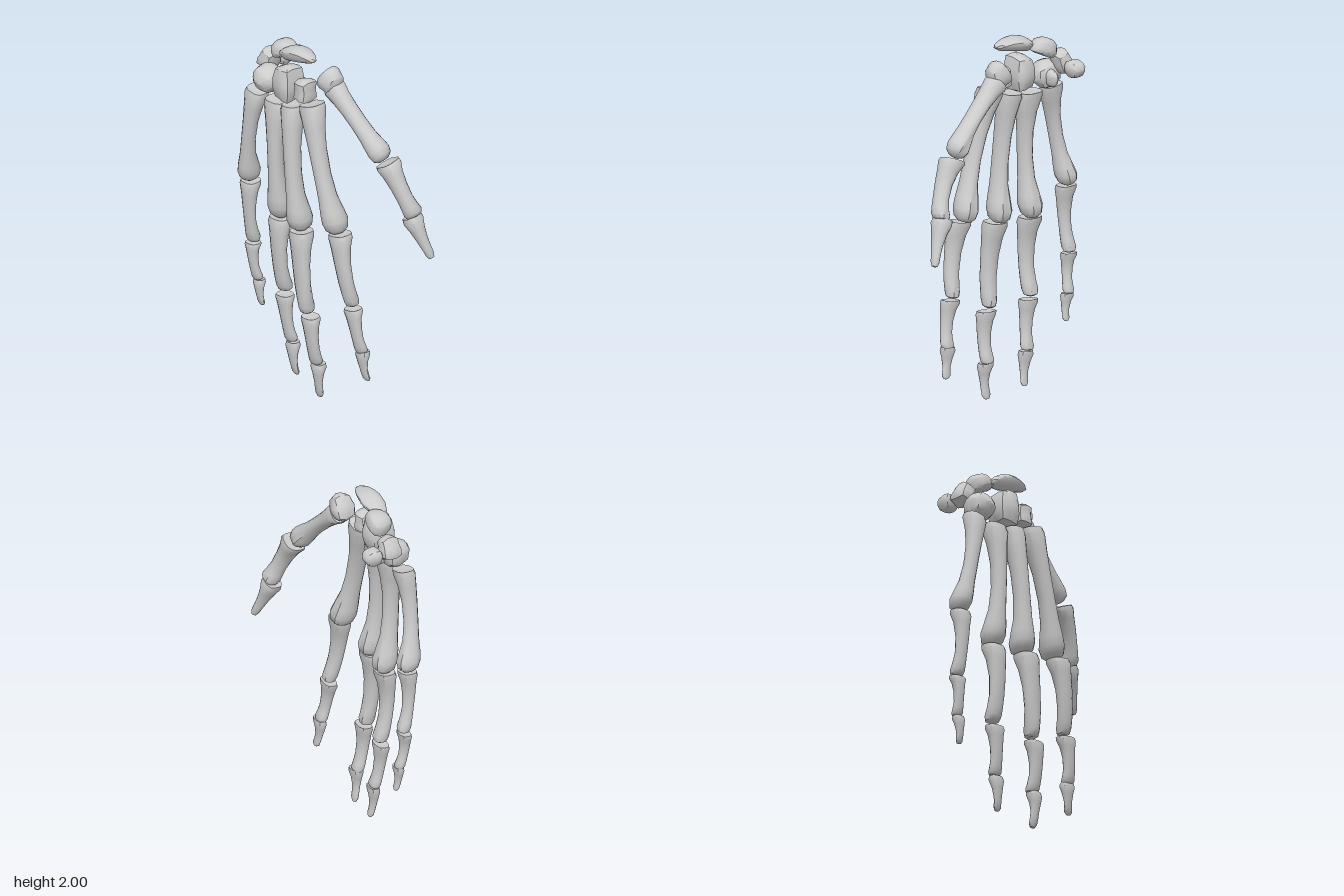
import * as THREE from 'three';
import { toCreasedNormals, mergeVertices } from 'three/addons/utils/BufferGeometryUtils.js';

const material = new THREE.MeshStandardMaterial({ color: 0xcccccc });
const V = (p) => new THREE.Vector3(...p);

// Lengthwise profiles: [t, share of base width, share of head width, inset scale]
const PROFILES = {
  metacarpal: [
    [0, 1, 0, 0.92], [0.05, 0.95, 0, 1], [0.18, 0.5, 0, 1], [0.35, 0.12, 0, 1], [0.55, 0, 0, 1],
    [0.72, 0, 0.2, 1], [0.84, 0, 0.75, 1], [0.91, 0, 1, 1], [0.97, 0, 0.85, 0.9], [1, 0, 0.7, 0.55],
  ],
  phalanx: [
    [0, 1, 0, 0.93], [0.06, 0.95, 0, 1], [0.2, 0.5, 0, 1], [0.42, 0.15, 0, 1], [0.66, 0, 0, 1],
    [0.82, 0, 0.5, 1], [0.92, 0, 1, 1], [0.98, 0, 0.9, 0.85], [1, 0, 0.8, 0.5],
  ],
  tip: [
    [0, 1, 0, 0.9], [0.1, 1, 0, 1], [0.3, 0.45, 0, 1], [0.55, 0, 0, 1],
    [0.75, 0, 0.7, 1], [0.9, 0, 1, 1], [1, 0, 0.6, 0.6],
  ],
};

// Long bone swept along a bowed centre line a-m-b.
// w and d are [base, shaft, head] widths across the hand and palm to back.
function longBone(name, kind, a, m, b, w, d) {
  const A = V(a), M = V(m), B = V(b);
  const control = M.clone().multiplyScalar(2).addScaledVector(A, -0.5).addScaledVector(B, -0.5);
  const path = new THREE.QuadraticBezierCurve3(A, control, B);
  const axis = B.clone().sub(A).normalize();
  const u = new THREE.Vector3(1, 0, 0).addScaledVector(axis, -axis.x).normalize();
  const v = axis.clone().cross(u);
  const profile = PROFILES[kind], N = 14, pos = [], idx = [];
  for (const [t, kb, kh, s] of profile) {
    const size = (r) => (r[1] + (r[0] - r[1]) * kb + (r[2] - r[1]) * kh) * s / 2;
    const c = path.getPoint(t), sw = size(w), sd = size(d);
    for (let j = 0; j < N; j++) {
      const q = j / N * Math.PI * 2, cu = Math.cos(q), sv = Math.sin(q);
      // paired condyles on the palm side, slightly squared base
      const condyle = kind === 'tip' ? 1 : 1 + 0.22 * kh * Math.max(0, cu) * Math.abs(sv) * 2;
      const square = 1 + 0.12 * kb * Math.sin(2 * q) ** 2;
      const p = c.clone().addScaledVector(u, cu * sd * condyle * square)
        .addScaledVector(v, sv * sw * square * (1 - 0.15 * cu * (1 - kb) * (1 - kh)));
      pos.push(p.x, p.y, p.z);
    }
  }
  const last = (profile.length - 1) * N, c0 = pos.length / 3, c1 = c0 + 1;
  const dish = A.clone().addScaledVector(axis, 0.012);
  const notch = B.clone().addScaledVector(axis, kind === 'phalanx' ? -0.004 : 0.004);
  pos.push(...dish.toArray(), ...notch.toArray());
  for (let j = 0; j < N; j++) {
    const k = (j + 1) % N;
    for (let r = 0; r < last; r += N) {
      idx.push(r + j, r + k, r + N + k, r + j, r + N + k, r + N + j);
    }
    idx.push(c0, k, j, c1, last + j, last + k);
  }
  const g = new THREE.BufferGeometry();
  g.setAttribute('position', new THREE.Float32BufferAttribute(pos, 3));
  g.setIndex(idx);
  const mesh = new THREE.Mesh(toCreasedNormals(g, 0.75), material);
  mesh.name = name;
  return mesh;
}

// Wrist bone: irregular faceted pebble; bend arches it along z, tilt turns it about x
function wristBone(name, centre, radii, seed, { tilt = 0, bend = 0, box = 0 } = {}) {
  let g = new THREE.IcosahedronGeometry(1, 2);
  g.deleteAttribute('normal');
  g.deleteAttribute('uv');
  g = mergeVertices(g, 1e-4);
  const p = g.attributes.position, n = new THREE.Vector3();
  for (let i = 0; i < p.count; i++) {
    n.fromBufferAttribute(p, i);
    const lump = 1 + 0.07 * Math.sin(3.1 * n.x + seed) + 0.07 * Math.sin(4.3 * n.y + 2 * seed)
      + 0.06 * Math.sin(3.7 * n.z + 3 * seed);
    const top = Math.max(Math.abs(n.x), Math.abs(n.y), Math.abs(n.z));
    n.multiplyScalar(lump * (1 + box * (1 / top - 1)));
    n.y -= bend * n.z * n.z;
    p.setXYZ(i, n.x * radii[0], n.y * radii[1], n.z * radii[2]);
  }
  g.rotateX(tilt);
  const mesh = new THREE.Mesh(toCreasedNormals(g, 0.6), material);
  mesh.name = name;
  mesh.position.set(...centre);
  return mesh;
}

// Each digit: list of [part, kind, start, middle, end, widths, depths]
const DIGITS = {
  thumb: [
    ['Metacarpal', 'metacarpal', [0, 1.81, 0.02], [0.02, 1.67, 0.18], [0.05, 1.485, 0.36], [0.12, 0.085, 0.12], [0.11, 0.1, 0.12]],
    ['ProximalPhalanx', 'phalanx', [0.065, 1.47, 0.375], [0.085, 1.33, 0.46], [0.13, 1.18, 0.515], [0.13, 0.085, 0.1], [0.13, 0.09, 0.1]],
    ['DistalPhalanx', 'tip', [0.125, 1.18, 0.495], [0.15, 1.06, 0.55], [0.18, 0.95, 0.595], [0.1, 0.06, 0.045], [0.11, 0.065, 0.05]],
  ],
  index: [
    ['Metacarpal', 'metacarpal', [-0.11, 1.73, -0.025], [-0.13, 1.39, 0.07], [-0.1, 1.035, 0.165], [0.14, 0.085, 0.13], [0.13, 0.1, 0.14]],
    ['ProximalPhalanx', 'phalanx', [-0.105, 1.04, 0.19], [-0.115, 0.84, 0.23], [-0.08, 0.63, 0.26], [0.13, 0.09, 0.08], [0.11, 0.075, 0.075]],
    ['MiddlePhalanx', 'phalanx', [-0.085, 0.62, 0.268], [-0.085, 0.49, 0.295], [-0.06, 0.365, 0.31], [0.11, 0.07, 0.08], [0.08, 0.055, 0.055]],
    ['DistalPhalanx', 'tip', [-0.055, 0.375, 0.312], [-0.055, 0.28, 0.318], [-0.042, 0.205, 0.335], [0.085, 0.05, 0.055], [0.06, 0.035, 0.025]],
  ],
  middle: [
    ['Metacarpal', 'metacarpal', [-0.115, 1.68, -0.165], [-0.15, 1.33, -0.13], [-0.125, 0.97, -0.095], [0.12, 0.085, 0.13], [0.13, 0.1, 0.14]],
    ['ProximalPhalanx', 'phalanx', [-0.135, 0.97, -0.08], [-0.155, 0.74, -0.055], [-0.135, 0.5, -0.035], [0.13, 0.1, 0.08], [0.12, 0.075, 0.085]],
    ['MiddlePhalanx', 'phalanx', [-0.13, 0.485, -0.015], [-0.13, 0.34, 0], [-0.1, 0.2, 0], [0.11, 0.075, 0.08], [0.085, 0.06, 0.06]],
    ['DistalPhalanx', 'tip', [-0.1, 0.21, 0.015], [-0.105, 0.11, 0.02], [-0.09, 0.01, 0.015], [0.085, 0.05, 0.055], [0.07, 0.04, 0.03]],
  ],
  ring: [
    ['Metacarpal', 'metacarpal', [-0.11, 1.66, -0.295], [-0.135, 1.33, -0.283], [-0.09, 0.965, -0.29], [0.14, 0.08, 0.13], [0.12, 0.09, 0.13]],
    ['ProximalPhalanx', 'phalanx', [-0.095, 0.965, -0.285], [-0.115, 0.75, -0.275], [-0.075, 0.53, -0.272], [0.13, 0.09, 0.09], [0.11, 0.07, 0.08]],
    ['MiddlePhalanx', 'phalanx', [-0.085, 0.51, -0.265], [-0.085, 0.37, -0.25], [-0.06, 0.235, -0.237], [0.11, 0.07, 0.08], [0.08, 0.055, 0.055]],
    ['DistalPhalanx', 'tip', [-0.06, 0.235, -0.228], [-0.065, 0.13, -0.22], [-0.05, 0.045, -0.21], [0.085, 0.05, 0.05], [0.06, 0.035, 0.025]],
  ],
  little: [
    ['Metacarpal', 'metacarpal', [-0.115, 1.665, -0.445], [-0.135, 1.39, -0.49], [-0.09, 1.095, -0.54], [0.125, 0.075, 0.11], [0.11, 0.08, 0.125]],
    ['ProximalPhalanx', 'phalanx', [-0.09, 1.09, -0.527], [-0.1, 0.91, -0.525], [-0.065, 0.72, -0.53], [0.11, 0.07, 0.08], [0.1, 0.06, 0.07]],
    ['MiddlePhalanx', 'phalanx', [-0.07, 0.715, -0.53], [-0.075, 0.61, -0.522], [-0.05, 0.495, -0.512], [0.095, 0.055, 0.065], [0.07, 0.05, 0.05]],
    ['DistalPhalanx', 'tip', [-0.05, 0.5, -0.503], [-0.055, 0.42, -0.495], [-0.042, 0.35, -0.488], [0.07, 0.045, 0.045], [0.055, 0.035, 0.025]],
  ],
};

export function createModel() {
  const hand = new THREE.Group();
  hand.name = 'handSkeleton';

  for (const [digit, bones] of Object.entries(DIGITS)) {
    const group = new THREE.Group();
    group.name = digit + (digit === 'thumb' ? '' : 'Finger');
    for (const [part, ...spec] of bones) group.add(longBone(digit + part, ...spec));
    hand.add(group);
  }

  // Wrist, thumb side to little finger side
  const wrist = new THREE.Group();
  wrist.name = 'wrist';
  wrist.add(
    wristBone('trapezium', [-0.01, 1.845, 0.01], [0.065, 0.075, 0.055], 1, { tilt: 0.5, box: 0.35 }),
    wristBone('trapezoid', [-0.1, 1.785, -0.09], [0.065, 0.06, 0.05], 2.2, { box: 0.35 }),
    wristBone('scaphoid', [-0.075, 1.965, -0.17], [0.06, 0.04, 0.135], 3, { tilt: -0.18, bend: 0.7 }),
    wristBone('capitate', [-0.1, 1.785, -0.22], [0.075, 0.115, 0.065], 4.1, { box: 0.4 }),
    wristBone('lunate', [-0.035, 1.925, -0.325], [0.065, 0.05, 0.085], 5.3, { tilt: -0.4, bend: 0.35 }),
    wristBone('hamate', [-0.1, 1.745, -0.385], [0.075, 0.075, 0.08], 0.6, { tilt: 0.3, box: 0.35 }),
    wristBone('hamateHook', [-0.02, 1.74, -0.37], [0.05, 0.045, 0.03], 2.8),
    wristBone('triquetrum', [-0.03, 1.82, -0.445], [0.065, 0.065, 0.045], 1.7, { tilt: 0.4, box: 0.3 }),
    wristBone('pisiform', [0.08, 1.8, -0.45], [0.05, 0.055, 0.045], 3.6, { box: 0.2 }),
  );
  hand.add(wrist);
  return hand;
}
